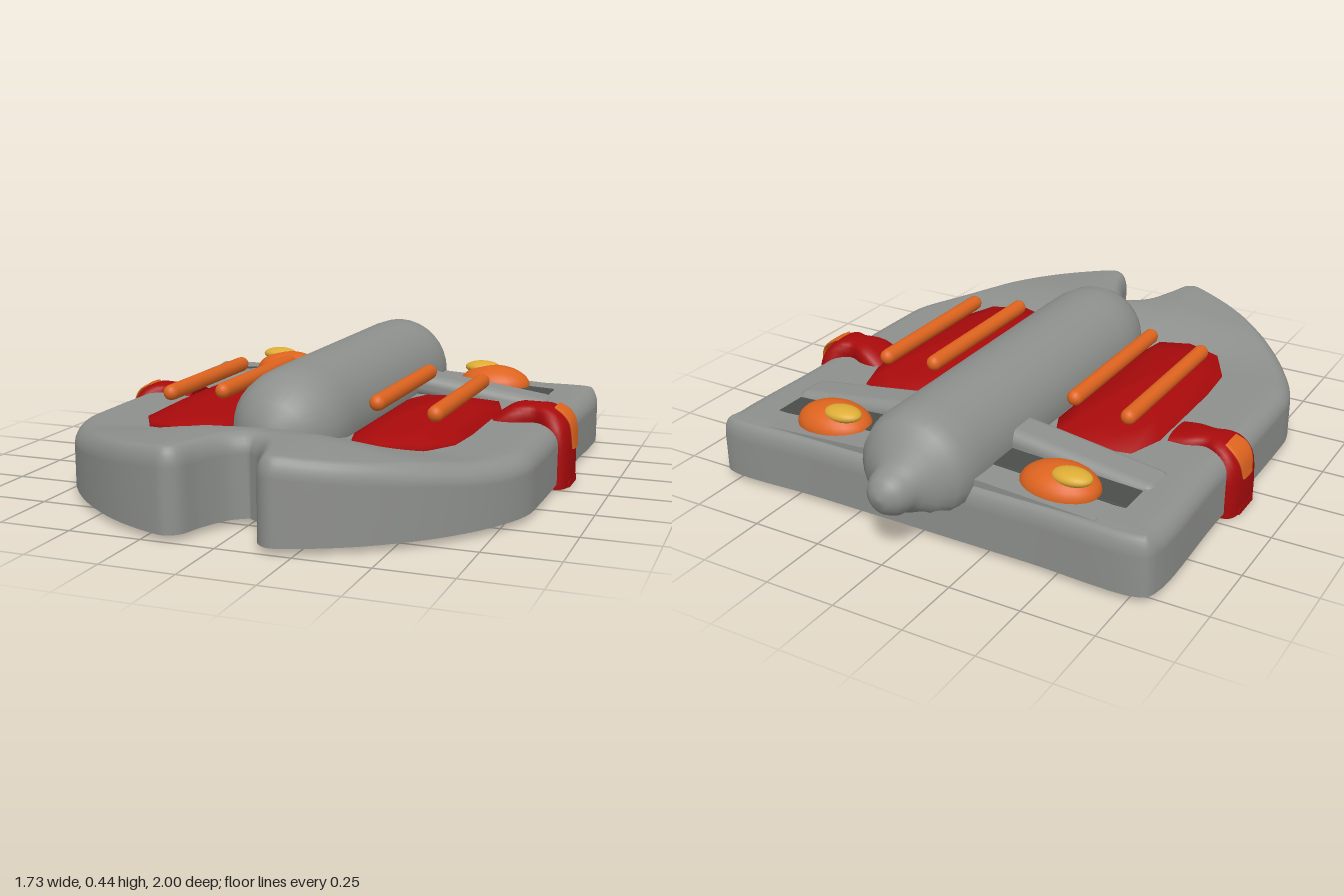
import * as THREE from 'three';
import { mergeVertices } from 'three/addons/utils/BufferGeometryUtils.js';
import { RoundedBoxGeometry } from 'three/addons/geometries/RoundedBoxGeometry.js';

const V = (x, y, z) => new THREE.Vector3(x, y, z);
const material = (name, color) => Object.assign(new THREE.MeshStandardMaterial({ color }), { name });
const { smoothstep, clamp } = THREE.MathUtils;

// Skins closed rings of points, with flat end caps; faces are turned outward by signed volume.
function loft(rings) {
  const n = rings[0].length, pos = [], index = [];
  rings.forEach(r => r.forEach(p => pos.push(p)));
  for (let i = 0; i < rings.length - 1; i++) for (let j = 0; j < n; j++) {
    const a = i * n + j, b = i * n + (j + 1) % n;
    index.push(a, b, a + n, b, b + n, a + n);
  }
  [rings[0], rings[rings.length - 1]].forEach((r, end) => {
    const base = pos.length, mid = V(0, 0, 0);
    r.forEach(p => { pos.push(p); mid.addScaledVector(p, 1 / n); });
    pos.push(mid);
    for (let j = 0; j < n; j++) {
      const a = base + j, b = base + (j + 1) % n;
      end ? index.push(a, b, base + n) : index.push(b, a, base + n);
    }
  });
  let volume = 0;
  for (let i = 0; i < index.length; i += 3)
    volume += pos[index[i]].dot(pos[index[i + 1]].clone().cross(pos[index[i + 2]]));
  if (volume < 0) index.reverse();
  const g = new THREE.BufferGeometry().setFromPoints(pos);
  g.setIndex(index);
  g.computeVertexNormals();
  return g;
}

// Sweeps a flattened oval along a path of [x, y, halfWidth], turned in the xy plane.
function band(path, side, zMid, thick) {
  const curve = new THREE.CatmullRomCurve3(path.map(p => V(...p)));
  const rings = [];
  for (let i = 0; i <= 24; i++) {
    const p = curve.getPoint(i / 24), t = curve.getTangent(i / 24);
    const l = Math.hypot(t.x, t.y), ring = [];
    for (let j = 0; j < 20; j++) {
      const a = j / 20 * Math.PI * 2, c = Math.cos(a), s = Math.sin(a);
      const w = Math.sign(c) * Math.abs(c) ** 0.7 * p.z, d = Math.sign(s) * Math.abs(s) ** 0.7 * thick;
      ring.push(V(side * (p.x - t.y / l * d), p.y + t.x / l * d, zMid + w));
    }
    rings.push(ring);
  }
  return loft(rings);
}

function hullGeometry() {
  const half = new THREE.CatmullRomCurve3([
    [0, 0.74], [0.05, 0.78], [0.1, 0.88], [0.13, 0.97], [0.17, 0.995], [0.22, 0.985], [0.4, 0.9], [0.6, 0.74],
    [0.74, 0.56], [0.81, 0.4], [0.82, 0.25], [0.82, -0.3], [0.82, -0.75], [0.79, -0.79], [0.4, -0.79], [0, -0.79]
  ].map(([x, z]) => V(x, 0, z)), false, 'centripetal').getPoints(90);
  const loop = [...half, ...half.slice(1, -1).reverse().map(p => V(-p.x, 0, p.z))];
  const n = loop.length;
  const inward = loop.map((p, i) => {
    const t = loop[(i + 1) % n].clone().sub(loop[(i + n - 1) % n]).normalize();
    const width = 0.07 - 0.035 * smoothstep(p.z, 0.65, 0.9) - 0.04 * smoothstep(-p.z, 0.7, 0.78);
    return V(t.z, 0, -t.x).multiplyScalar(width);
  });
  // The deck is level aft and sweeps up to the bow, highest near the middle.
  const deck = p => {
    const x = Math.abs(p.x), a = Math.min(x / 0.5, 1);
    const side = 1 - clamp((x - 0.2) / 0.62, 0, 1);
    return 0.22 + 0.075 * side * smoothstep(p.z, 0.3 + 0.15 * a, 0.7 + 0.05 * a);
  };
  const ring = (inset, drop, scale = 1) => loop.map((p, i) => {
    const q = p.clone().addScaledVector(inward[i], inset).multiplyScalar(scale);
    q.y = deck(q) - drop;
    return q;
  });
  const rings = [loop.map(p => V(p.x, 0.02, p.z))];
  for (let i = 0; i <= 6; i++) {
    const a = i / 6 * Math.PI / 2;
    rings.push(ring(1 - Math.cos(a), 0.065 * (1 - Math.sin(a))));
  }
  for (let i = 1; i <= 16; i++) rings.push(ring(1, 0, 1 - i / 16 * 0.98));
  return loft(rings);
}

function bodyGeometry() {
  const profile = [[0.001, 0.6], [0.06, 0.59], [0.115, 0.56], [0.16, 0.51], [0.188, 0.45], [0.198, 0.38], [0.2, 0.3],
    [0.2, -0.7], [0.197, -0.78], [0.18, -0.83], [0.14, -0.867], [0.1, -0.893], [0.083, -0.915], [0.077, -0.945],
    [0.06, -0.975], [0.035, -0.994], [0.001, -1]];
  const rings = profile.map(([r, z]) => Array.from({ length: 32 }, (_, j) => {
    const a = j / 32 * Math.PI * 2;
    const drop = 0.015 * smoothstep(-z, 0.8, 0.95);
    return V(r * Math.cos(a), 0.245 - drop + Math.max(r * Math.sin(a), -0.09), z);
  }));
  return loft(rings);
}

function padGeometry(side) {
  const outline = [[0.205, 0.34], [0.25, 0.49], [0.36, 0.528], [0.49, 0.48], [0.56, 0.36], [0.573, 0.2],
    [0.573, -0.2], [0.53, -0.33], [0.38, -0.36], [0.25, -0.335], [0.205, -0.23]];
  const levels = [[1, 0.2], [1, 0.226], [0.75, 0.252], [0.4, 0.277], [0.05, 0.288]];
  return loft(levels.map(([k, y]) => outline.map(([x, z]) => {
    const pz = 0.08 + (z - 0.08) * k;
    return V(side * (0.38 + (x - 0.38) * k), y + 0.018 * smoothstep(pz, 0.32, 0.52), pz);
  })));
}

// Flat plate with clipped corners, lying under the hull edge
function footGeometry() {
  const x = 0.14, z = 0.107, c = 0.05;
  const outline = [[x - c, z], [x, z - c], [x, c - z], [x - c, -z], [c - x, -z], [-x, c - z], [-x, z - c], [c - x, z]];
  const shape = new THREE.Shape(outline.map(p => new THREE.Vector2(...p)));
  return new THREE.ExtrudeGeometry(shape, { depth: 0.022, bevelEnabled: false }).rotateX(-Math.PI / 2);
}

export function createModel() {
  const model = new THREE.Group();
  const gray = material('hullGray', 0x8e908d);
  const dark = material('recessGray', 0x4b4d4b);
  const red = material('deepRed', 0xa80a0b);
  const orange = material('orange', 0xde641f);
  const yellow = material('amber', 0xdcac34);
  const add = (name, geometry, mat, x = 0, y = 0, z = 0) => {
    const m = new THREE.Mesh(geometry, mat);
    m.name = name;
    m.position.set(x, y, z);
    model.add(m);
    return m;
  };
  const oval = (rx, ry, rz) => mergeVertices(new THREE.SphereGeometry(1, 24, 16)).scale(rx, ry, rz);

  add('hull', hullGeometry(), gray);
  add('centreBody', bodyGeometry(), gray);

  for (const side of [1, -1]) {
    const label = side > 0 ? 'left' : 'right';
    add(label + 'Pad', padGeometry(side), red);

    // Aft deck panel, recess and cross bar, all falling away outboard
    add(label + 'AftPanel', new THREE.BoxGeometry(0.52, 0.03, 0.234), gray, side * 0.36, 0.22, -0.645)
      .rotation.z = -side * 0.055;
    add(label + 'Recess', new RoundedBoxGeometry(0.53, 0.008, 0.12, 2, 0.003), dark, side * 0.405, 0.233, -0.59)
      .rotation.z = -side * 0.055;
    add(label + 'CrossBar', new RoundedBoxGeometry(0.62, 0.09, 0.155, 4, 0.04), gray, side * 0.395, 0.226, -0.45)
      .rotation.z = -side * 0.14;

    // Pair of rails floating over each pad
    for (const [x, y] of [[0.282, 0.333], [0.483, 0.312]]) {
      const rail = new THREE.CapsuleGeometry(0.028, 0.586, 6, 12).rotateX(Math.PI / 2);
      add(label + 'Rail', rail, orange, side * x, y, 0.037);
    }

    // Stern lamp with an off-centre lens
    add(label + 'Lamp', oval(0.138, 0.075, 0.105), orange, side * 0.435, 0.228, -0.637);
    add(label + 'Lens', oval(0.07, 0.026, 0.048), yellow, side * 0.435 - 0.055, 0.287, -0.663);

    // Side clamp wrapping the gunwale, the left one standing a little higher
    const lift = side > 0 ? 0.03 : 0;
    const zMid = -0.11;
    add(label + 'Clamp', band([[0.6, 0.19, 0.09], [0.66, 0.2 + lift, 0.08], [0.72, 0.205 + lift, 0.058],
      [0.77, 0.2 + lift, 0.085], [0.802, 0.16 + lift, 0.105], [0.81, 0.08, 0.11], [0.81, 0.001, 0.11]],
    side, zMid, 0.046), red);
    add(label + 'ClampPatch', band([[0.79, 0.244 + lift, 0.045], [0.825, 0.222 + lift, 0.055],
      [0.847, 0.19 + lift, 0.052], [0.858, 0.13, 0.038]], side, zMid - 0.01, 0.006), orange);
    add(label + 'ClampFoot', footGeometry(), red, side * 0.717, 0, zMid);
  }
  return model;
}
